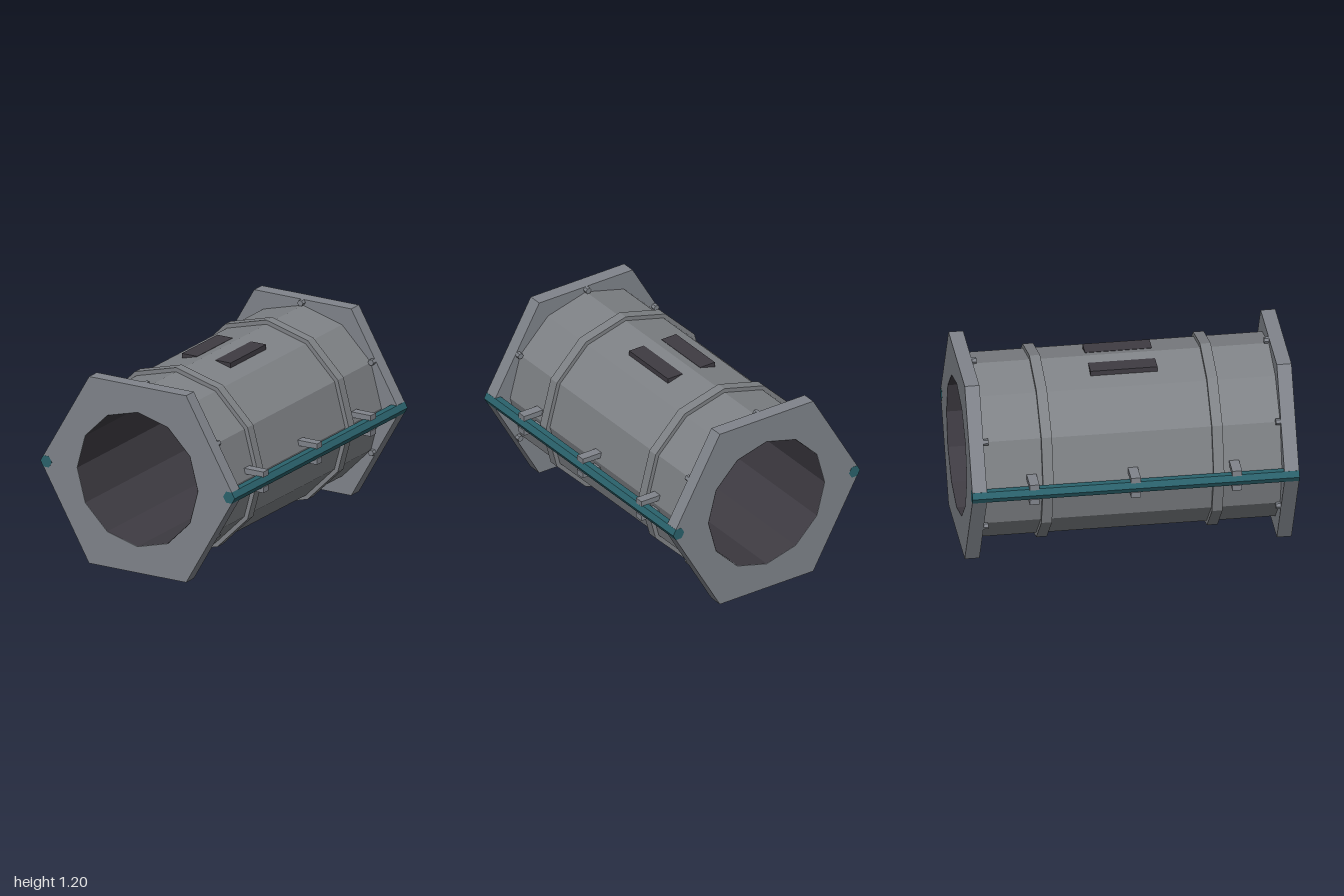
import * as THREE from 'three';

const CY = 0.598; // height of the tube axis

function material(name, color, side = THREE.FrontSide) {
  const m = new THREE.MeshStandardMaterial({ color, flatShading: true, side });
  m.name = name;
  return m;
}

// Points of a regular polygon with a corner on +x
function polygon(sides, r) {
  return Array.from({ length: sides }, (_, i) => {
    const a = (i / sides) * Math.PI * 2;
    return new THREE.Vector2(Math.cos(a) * r, Math.sin(a) * r);
  });
}

// Hollow prism along z, centred on its own depth
function hollowPrism(sides, outer, inner, depth) {
  const shape = new THREE.Shape(polygon(sides, outer));
  shape.holes.push(new THREE.Path(polygon(12, inner).reverse()));
  const g = new THREE.ExtrudeGeometry(shape, { depth, bevelEnabled: false });
  return g.translate(0, 0, -depth / 2);
}

// Solid or open prism along z with a corner on +x
function prism(sides, r, depth, open = false) {
  return new THREE.CylinderGeometry(r, r, depth, sides, 1, open, Math.PI / 2).rotateX(Math.PI / 2);
}

export function createModel() {
  const model = new THREE.Group();
  model.name = 'tunnelModule';
  const flangeGrey = material('flange grey', 0x80848b);
  const hullGrey = material('hull grey', 0x7f8286);
  const dark = material('dark panel', 0x3e3b42);
  const liningDark = material('dark lining', 0x3e3b42, THREE.DoubleSide);
  const teal = material('teal pipe', 0x2a626c);

  const add = (name, geometry, mat, x, y, z) => {
    const mesh = new THREE.Mesh(geometry, mat);
    mesh.name = name;
    mesh.position.set(x, y, z);
    model.add(mesh);
  };

  // Twelve-sided tube and its dark inside
  add('hull', hollowPrism(12, 0.56, 0.435, 1.82), hullGrey, 0, CY, 0);
  add('lining', prism(12, 0.428, 2, true), liningDark, 0, CY, 0);

  const flange = hollowPrism(6, 0.69, 0.43, 0.09);
  const band = hollowPrism(12, 0.587, 0.5, 0.065);
  const bolt = prism(6, 0.02, 0.035);
  const rod = prism(6, 0.041, 2.002);
  const clip = new THREE.BoxGeometry(0.14, 0.035, 0.06);
  const hatch = new THREE.BoxGeometry(0.109, 0.034, 0.41);

  for (const s of [-1, 1]) {
    // Hexagonal end flange, raised band and bolts at each end
    add('flange', flange, flangeGrey, 0, CY, s * 0.955);
    add('band', band, hullGrey, 0, CY, s * 0.522);
    for (let i = 0; i < 6; i++) {
      const a = Math.PI / 6 + (i * Math.PI) / 3;
      add('bolt', bolt, flangeGrey, Math.cos(a) * 0.58, CY + Math.sin(a) * 0.58, s * 0.8975);
    }

    // Side pipe held between pairs of clips
    add('pipe', rod, teal, s * 0.65, CY, 0);
    for (const z of [-0.62, 0, 0.62]) {
      for (const v of [-1, 1]) add('clip', clip, flangeGrey, s * 0.61, CY + v * 0.0495, z);
    }

    // Dark roof panel
    add('roofPanel', hatch, dark, s * 0.119, 1.126, 0);
  }
  return model;
}
